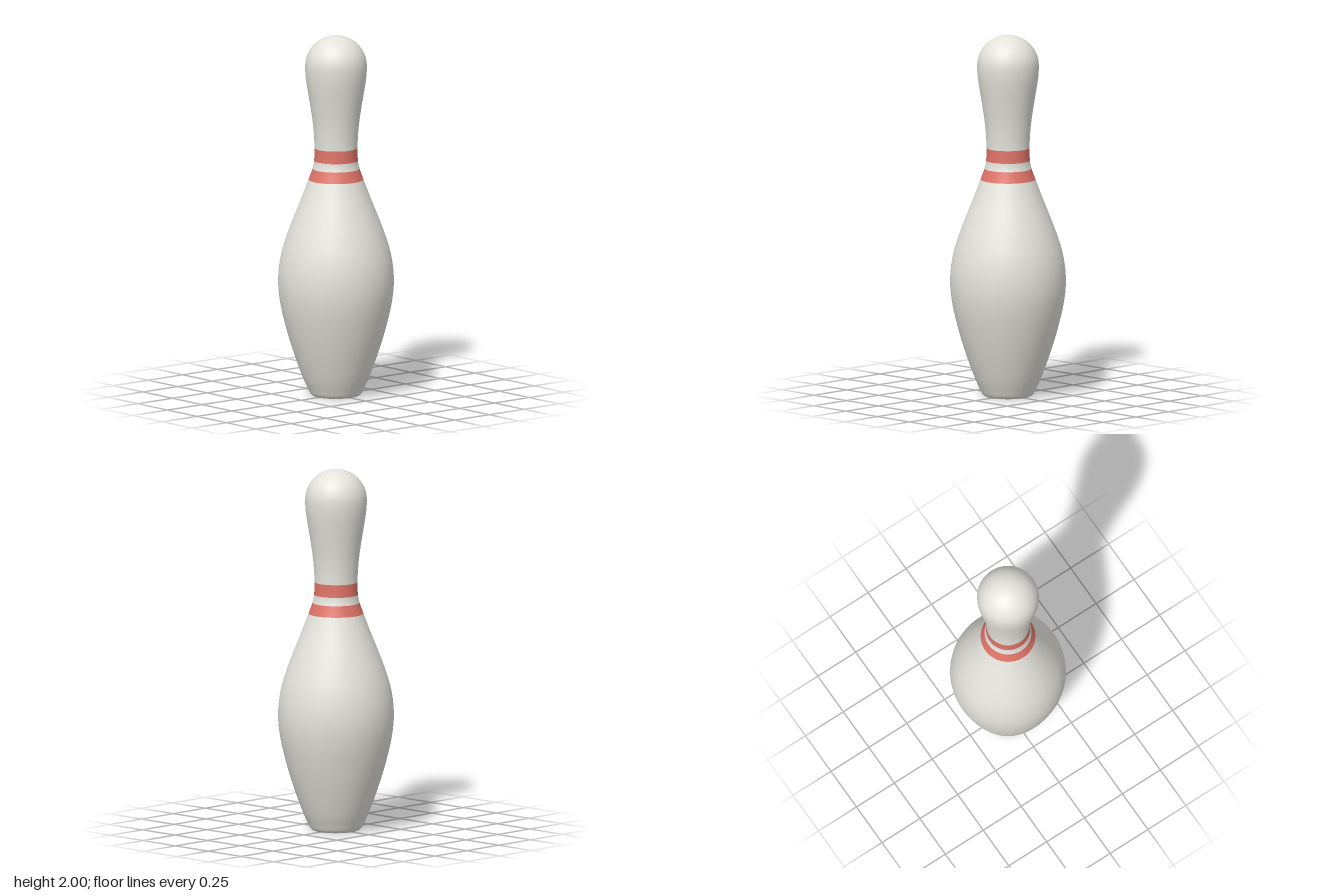
import * as THREE from 'three';

export function createModel() {
  const model = new THREE.Group();
  const white = new THREE.MeshStandardMaterial({ color: 0xe4e3dc });
  white.name = 'ivory white';
  const red = new THREE.MeshStandardMaterial({ color: 0xe07468 });
  red.name = 'stripe red';

  // Silhouette (radius, height), base to neck
  const outline = [
    [0.126, 0], [0.141, 0.012], [0.157, 0.045], [0.182, 0.1], [0.219, 0.2], [0.252, 0.3],
    [0.28, 0.4], [0.303, 0.5], [0.316, 0.6], [0.314, 0.7], [0.297, 0.8], [0.266, 0.9],
    [0.228, 1.0], [0.188, 1.1], [0.15, 1.2], [0.129, 1.26], [0.12, 1.305], [0.118, 1.375],
    [0.121, 1.45], [0.129, 1.53], [0.141, 1.61], [0.156, 1.7], [0.166, 1.77],
  ].map(([r, y]) => new THREE.Vector2(r, y));

  // Round head, with one point past the pole so the curve crosses it level
  const headRadius = 0.169;
  for (let deg = 0; deg <= 105; deg += 15) {
    const a = THREE.MathUtils.degToRad(deg);
    outline.push(new THREE.Vector2(headRadius * Math.cos(a), 2 - headRadius + headRadius * Math.sin(a)));
  }
  const curve = new THREE.SplineCurve(outline);
  const last = outline.length - 1;

  // Turn the stretch of silhouette between two outline points
  function addSection(name, from, to, material) {
    const steps = (to - from) * 5;
    const points = [];
    for (let i = 0; i <= steps; i++) {
      const p = curve.getPoint((from + (i / steps) * (to - from)) / last);
      points.push(new THREE.Vector2(Math.max(0, p.x), p.y));
    }
    const mesh = new THREE.Mesh(new THREE.LatheGeometry(points, 96), material);
    mesh.name = name;
    model.add(mesh);
  }
  addSection('belly', 0, 14, white);
  addSection('lowerStripe', 14, 15, red);
  addSection('neckGap', 15, 16, white);
  addSection('upperStripe', 16, 17, red);
  addSection('neckAndHead', 17, last - 1, white);

  // Flat underside
  const base = new THREE.Mesh(new THREE.CircleGeometry(outline[0].x, 96), white);
  base.rotation.x = Math.PI / 2;
  base.name = 'base';
  model.add(base);

  return model;
}
